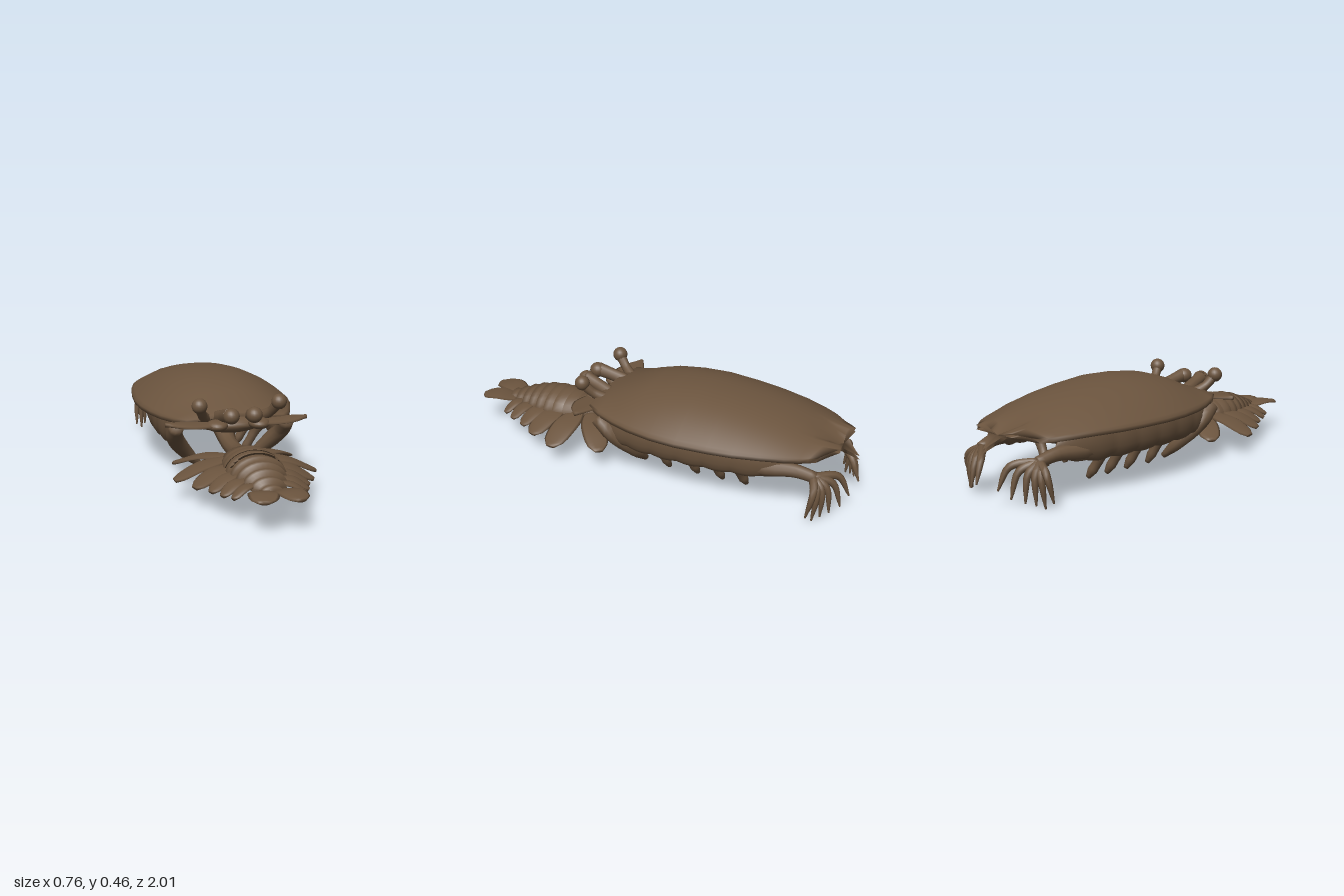
import * as THREE from 'three';

const V = (x, y, z) => new THREE.Vector3(x, y, z);
const X = V(1, 0, 0), Y = V(0, 1, 0), Z = V(0, 0, 1);

// Skin a closed surface over a row of rings and cap both ends
function loft(rings) {
  const n = rings[0].length, pos = [], idx = [];
  rings.forEach(r => r.forEach(p => pos.push(p.x, p.y, p.z)));
  for (let i = 0; i < rings.length - 1; i++) {
    for (let j = 0; j < n; j++) {
      const a = i * n + j, b = i * n + (j + 1) % n;
      idx.push(a, b, a + n, b, b + n, a + n);
    }
  }
  [0, rings.length - 1].forEach(i => {
    const c = rings[i].reduce((s, p) => s.add(p), V(0, 0, 0)).divideScalar(n);
    const k = pos.length / 3;
    pos.push(c.x, c.y, c.z);
    for (let j = 0; j < n; j++) {
      const a = i * n + j, b = i * n + (j + 1) % n;
      if (i === 0) idx.push(k, b, a); else idx.push(k, a, b);
    }
  });
  const g = new THREE.BufferGeometry();
  g.setAttribute('position', new THREE.Float32BufferAttribute(pos, 3));
  g.setIndex(idx);
  g.computeVertexNormals();
  return g;
}

// Interpolate evenly spaced values
function along(list, t) {
  const f = t * (list.length - 1), i = Math.min(Math.floor(f), list.length - 2);
  return THREE.MathUtils.lerp(list[i], list[i + 1], f - i);
}

// Sweep an ellipse along a curve; ref fixes the direction of its thickness
function sweep(points, widths, thickness, ref, steps = 12, sides = 10) {
  const curve = new THREE.CatmullRomCurve3(points), rings = [];
  for (let i = 0; i <= steps; i++) {
    const t = i / steps, p = curve.getPoint(t), tan = curve.getTangent(t);
    const side = V(0, 0, 0).crossVectors(tan, ref).normalize();
    const up = V(0, 0, 0).crossVectors(side, tan);
    const w = along(widths, t), h = thickness ?? w, ring = [];
    for (let j = 0; j < sides; j++) {
      const a = j / sides * Math.PI * 2;
      ring.push(p.clone().addScaledVector(side, w * Math.cos(a)).addScaledVector(up, h * Math.sin(a)));
    }
    rings.push(ring);
  }
  return loft(rings);
}

// Flat paddle with a blunt round end, arched a little between base and tip
function leaf(base, tip, width) {
  const mid = base.clone().lerp(tip, 0.5).add(V(0, 0.015, 0));
  const w = [0.45, 0.7, 0.88, 0.98, 1, 0.98, 0.92, 0.78, 0.35].map(v => v * width / 2);
  return sweep([base, mid, tip], w, 0.009, Y, 16);
}

// Domed shield; two raised lobes at the rear with a drooping spike between
function shellGeometry() {
  // z, half width, ridge height, rim height
  const rows = [
    [0.27, 0.235, 0.345, 0.32], [0.2, 0.28, 0.365, 0.315], [0.1, 0.32, 0.41, 0.31],
    [0, 0.352, 0.44, 0.31], [-0.12, 0.375, 0.455, 0.31], [-0.25, 0.382, 0.46, 0.31],
    [-0.4, 0.37, 0.447, 0.31], [-0.52, 0.352, 0.43, 0.31], [-0.64, 0.32, 0.405, 0.31],
    [-0.74, 0.28, 0.375, 0.305], [-0.8, 0.25, 0.355, 0.302], [-0.84, 0.225, 0.343, 0.3],
    [-0.88, 0.2, 0.332, 0.298]];
  const rear = u => {
    if (u < 0.34) return THREE.MathUtils.lerp(-0.12, -0.025, Math.pow(u / 0.34, 0.85));
    if (u < 0.55) return THREE.MathUtils.lerp(-0.025, -0.06, (u - 0.34) / 0.21);
    return THREE.MathUtils.lerp(-0.06, 0.02, (u - 0.55) / 0.45);
  };
  const N = 50;
  return loft(rows.map(([z, w, top, rim], i) => {
    const ring = [], blend = Math.max(0, (i - rows.length + 4) / 3) ** 2;
    for (let j = 0; j < N * 2 + 2; j++) {
      const under = j > N, k = under ? 2 * N + 1 - j : j;
      const u = k / N * 2 - 1, a = Math.abs(u);
      const dip = 0.085 * blend * Math.max(0, 1 - a / 0.4);
      const y = rim + (top - rim) * (1 - Math.pow(a, 2.2)) - dip - (under ? 0.018 : 0);
      ring.push(V(u * w, y, z + rear(a) * blend));
    }
    return ring;
  }));
}

// Side of the body, gently pinched between its segments
function sideWallGeometry(s) {
  const centre = [0.25, 0.262, 0.27, 0.272, 0.265, 0.25, 0.23, 0.18], rings = [];
  for (let i = 0; i <= 56; i++) {
    const t = i / 56, end = Math.pow(1 - Math.pow(Math.abs(2 * t - 1), 6), 0.5);
    const size = Math.max(0.05, end) * (0.9 + 0.1 * Math.abs(Math.sin(t * Math.PI * 7)));
    const ring = [];
    for (let j = 0; j < 16; j++) {
      const a = j / 16 * Math.PI * 2;
      const y = 0.24 + 0.09 * size * Math.sin(a);
      ring.push(V(s * (along(centre, t) + 0.04 * size * Math.cos(a)), y, 0.18 - 0.93 * t));
    }
    rings.push(ring);
  }
  return loft(rings);
}

// Overlapping arched plates with a keel beneath
function tailGeometry() {
  const widths = [0.08, 0.108, 0.124, 0.132, 0.132, 0.125, 0.112, 0.095, 0.075, 0.05];
  const tops = [0.205, 0.225, 0.24, 0.245, 0.245, 0.24, 0.228, 0.21, 0.19, 0.17];
  const rings = [], count = 10, len = 0.51 / count;
  for (let i = 0; i < count; i++) {
    [[0, 0.97], [0.6, 1.02], [1.08, 1.01]].forEach(([f, s]) => {
      const z = 0.35 + (i + f) * len, base = 0.15 - i * 0.0015, ring = [];
      for (let j = 0; j < 28; j++) {
        const a = j / 28 * Math.PI * 2, c = Math.cos(a), q = Math.sin(a);
        const drop = 0.06 * Math.sin(Math.PI * (i + 1) / (count + 1)) * (1 - Math.abs(c));
        ring.push(V(widths[i] * s * c, base + (q > 0 ? (tops[i] - base) * s * q : -drop), z));
      }
      rings.push(ring);
    });
  }
  return loft(rings);
}

export function createModel() {
  const root = new THREE.Group();
  const brown = new THREE.MeshStandardMaterial({ color: 0x6b543e, side: THREE.DoubleSide });
  brown.name = 'earth brown';
  const add = (name, geometry) => {
    const m = new THREE.Mesh(geometry, brown);
    m.name = name;
    root.add(m);
    return m;
  };
  const ball = (name, c, r) => {
    const m = add(name, new THREE.SphereGeometry(1, 20, 14));
    m.position.copy(c);
    m.scale.copy(r);
  };

  add('shell', shellGeometry());
  add('tailPlates', tailGeometry());
  ball('belly', V(0, 0.27, -0.28), V(0.26, 0.085, 0.5));
  ball('face', V(0, 0.285, 0.17), V(0.16, 0.05, 0.13));
  add('neck', sweep([V(0, 0.17, 0.42), V(0, 0.16, 0.28), V(0, 0.17, 0.13), V(0, 0.24, -0.02)],
    [0.055, 0.04, 0.04, 0.055], null, X));

  for (const s of [1, -1]) {
    const P = (x, y, z) => V(x * s, y, z);

    // Eyes, feelers and face wings
    add('eyeStalk', sweep([P(0.13, 0.31, 0.23), P(0.165, 0.35, 0.29), P(0.187, 0.4, 0.335)], [0.03, 0.022, 0.025], null, X));
    ball('eye', P(0.188, 0.402, 0.335), V(0.036, 0.036, 0.036));
    add('feeler', sweep([P(0.08, 0.32, 0.24), P(0.068, 0.345, 0.32), P(0.057, 0.364, 0.39)], [0.032, 0.03, 0.034], null, X));
    ball('feelerTip', P(0.054, 0.36, 0.39), V(0.038, 0.037, 0.04));
    ball('cheek', P(0.1, 0.3, 0.31), V(0.05, 0.027, 0.055));
    add('faceWing', sweep([P(0.1, 0.3, 0.26), P(0.22, 0.305, 0.295), P(0.338, 0.312, 0.29)],
      [0.06, 0.08, 0.075, 0.05, 0.008], 0.01, Y));

    add('sideWall', sideWallGeometry(s));

    // Walking legs
    add('frontLeg', sweep([P(0.268, 0.28, 0.21), P(0.262, 0.21, 0.13), P(0.19, 0.11, 0.055), P(0.115, 0.035, 0.03)],
      [0.035, 0.04, 0.04, 0.03, 0.014], null, Z));
    [-0.11, -0.26, -0.39, -0.51].forEach((z, i) =>
      add('leg', sweep([P(0.23, 0.22, z + 0.02), P(0.185, 0.13, z + 0.015), P(0.135, 0.035 + i * 0.004, z)],
        [0.045, 0.036, 0.025, 0.022, 0.023, 0.012], null, Z, 15)));

    // Rear arm with a fan of hooked fingers
    add('arm', sweep([P(0.19, 0.205, -0.43), P(0.225, 0.205, -0.6), P(0.2, 0.215, -0.76), P(0.185, 0.195, -0.86)],
      [0.03, 0.038, 0.036, 0.03, 0.026], null, X));
    [[0.27, 0.03, -0.85], [0.24, 0.005, -0.87], [0.215, 0.02, -0.9], [0.18, 0.03, -0.93],
      [0.13, 0.045, -0.965], [0.07, 0.075, -0.985]].forEach(([x, y, z]) => {
      const tip = P(x, y, z), wrist = P(0.185, 0.195, -0.85);
      const knuckle = wrist.clone().lerp(tip, 0.45).add(P((x - 0.185) * 0.35, 0.035, -0.025));
      add('finger', sweep([wrist, knuckle, tip], [0.022, 0.02, 0.017, 0.013, 0.004], null, X, 10, 8));
    });

    // Swimming paddles beside the tail and the flat tail fan
    [[[0.07, 0.17, 0.37], [0.28, 0.105, 0.2], 0.125],
      [[0.08, 0.175, 0.43], [0.33, 0.095, 0.445], 0.14],
      [[0.08, 0.17, 0.53], [0.272, 0.1, 0.59], 0.135],
      [[0.08, 0.165, 0.62], [0.222, 0.105, 0.68], 0.1],
      [[0.07, 0.16, 0.7], [0.192, 0.11, 0.76], 0.085],
      [[0.05, 0.155, 0.77], [0.162, 0.115, 0.82], 0.065]]
      .forEach(([a, b, w]) => add('paddle', leaf(P(...a), P(...b), w)));
    add('tailFan', leaf(P(0.035, 0.14, 0.83), P(0.08, 0.148, 1), 0.135));
  }
  return root;
}
